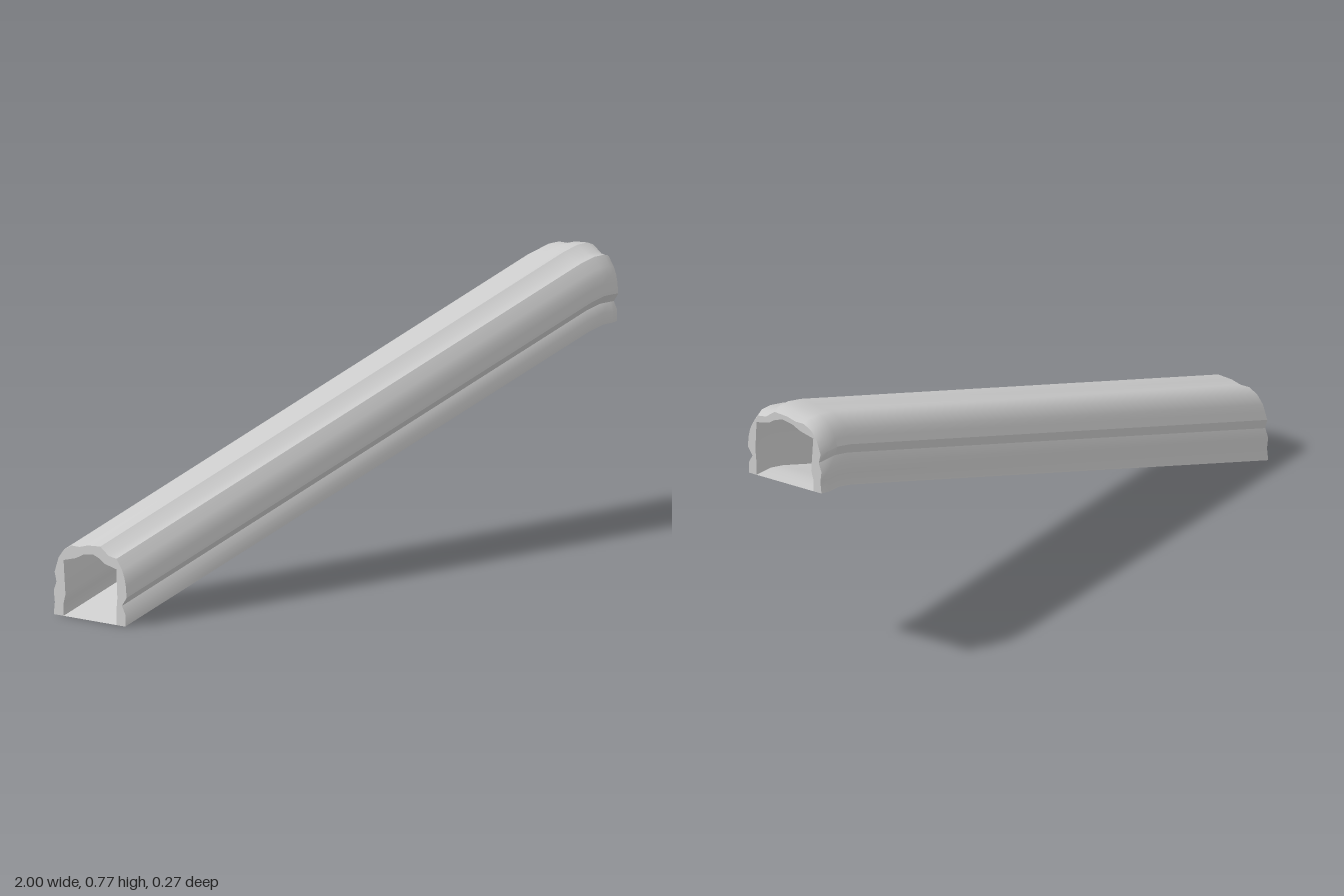
import * as THREE from 'three';
import { toCreasedNormals } from 'three/addons/utils/BufferGeometryUtils.js';

// Cross-sections as [z, height above floor], running from +z over the top to -z
const OUTER = [
  [0.13, 0], [0.131, 0.032], [0.118, 0.056], [0.135, 0.08], [0.132, 0.112], [0.127, 0.135],
  [0.118, 0.155], [0.098, 0.184], [0.069, 0.188], [0.038, 0.21], [-0.008, 0.207], [-0.038, 0.199],
  [-0.068, 0.199], [-0.095, 0.185], [-0.115, 0.16], [-0.123, 0.138], [-0.13, 0.118],
  [-0.123, 0.092], [-0.133, 0.066], [-0.129, 0.034], [-0.133, 0],
];
const INNER = [
  [0.097, 0], [0.097, 0.035], [0.101, 0.075], [0.097, 0.155], [0.055, 0.164], [0.036, 0.176], [0.01, 0.185],
  [-0.025, 0.179], [-0.052, 0.166], [-0.097, 0.155], [-0.09, 0.06], [-0.097, 0.035], [-0.097, 0],
];
// Path as [x, floor height]: long ramp, then a short level mouth
const PATH = [[-1, 0], [0.88, 0.545], [0.935, 0.556], [0.975, 0.556], [1, 0.556]];

const material = new THREE.MeshStandardMaterial({ color: 0xcccccc, side: THREE.DoubleSide });

// Joins one profile per station into a surface
function loft(stations) {
  const position = [], index = [], n = stations[0].profile.length;
  stations.forEach(({ x, y, profile }, i) => profile.forEach(([z, h], j) => {
    position.push(x, y + h, z);
    if (i === 0 || j === 0) return;
    const d = i * n + j, c = d - 1, b = d - n, a = b - 1;
    index.push(a, c, d, a, d, b);
  }));
  const g = new THREE.BufferGeometry();
  g.setAttribute('position', new THREE.Float32BufferAttribute(position, 3));
  g.setIndex(index);
  return toCreasedNormals(g, 0.6);
}

// Flat ring of wall thickness closing one end
function endCap(outer, inner, x, y, dir) {
  const outline = [...outer, ...[...inner].reverse()];
  const shape = new THREE.Shape(outline.map(([z, h]) => new THREE.Vector2(-dir * z, h)));
  return new THREE.ShapeGeometry(shape).rotateY(dir * Math.PI / 2).translate(x, y, 0);
}

export function createModel() {
  const group = new THREE.Group();
  const add = (name, geometry) => {
    const mesh = new THREE.Mesh(geometry, material);
    mesh.name = name;
    group.add(mesh);
  };

  // The outer shell tapers slightly at the mouth
  const lip = OUTER.map(([z, h]) => [z * 0.94, h * 0.955]);
  const stations = (profile, end = profile) =>
    PATH.map(([x, y], i) => ({ x, y, profile: i === PATH.length - 1 ? end : profile }));

  add('outerRock', loft(stations(OUTER, lip)));
  add('innerWalls', loft(stations(INNER).reverse()));
  add('floor', loft(stations([[0.097, 0], [-0.097, 0]])));
  add('lowerEndRim', endCap(OUTER, INNER, -1, 0, -1));
  add('upperEndRim', endCap(lip, INNER, 1, 0.556, 1));
  return group;
}
